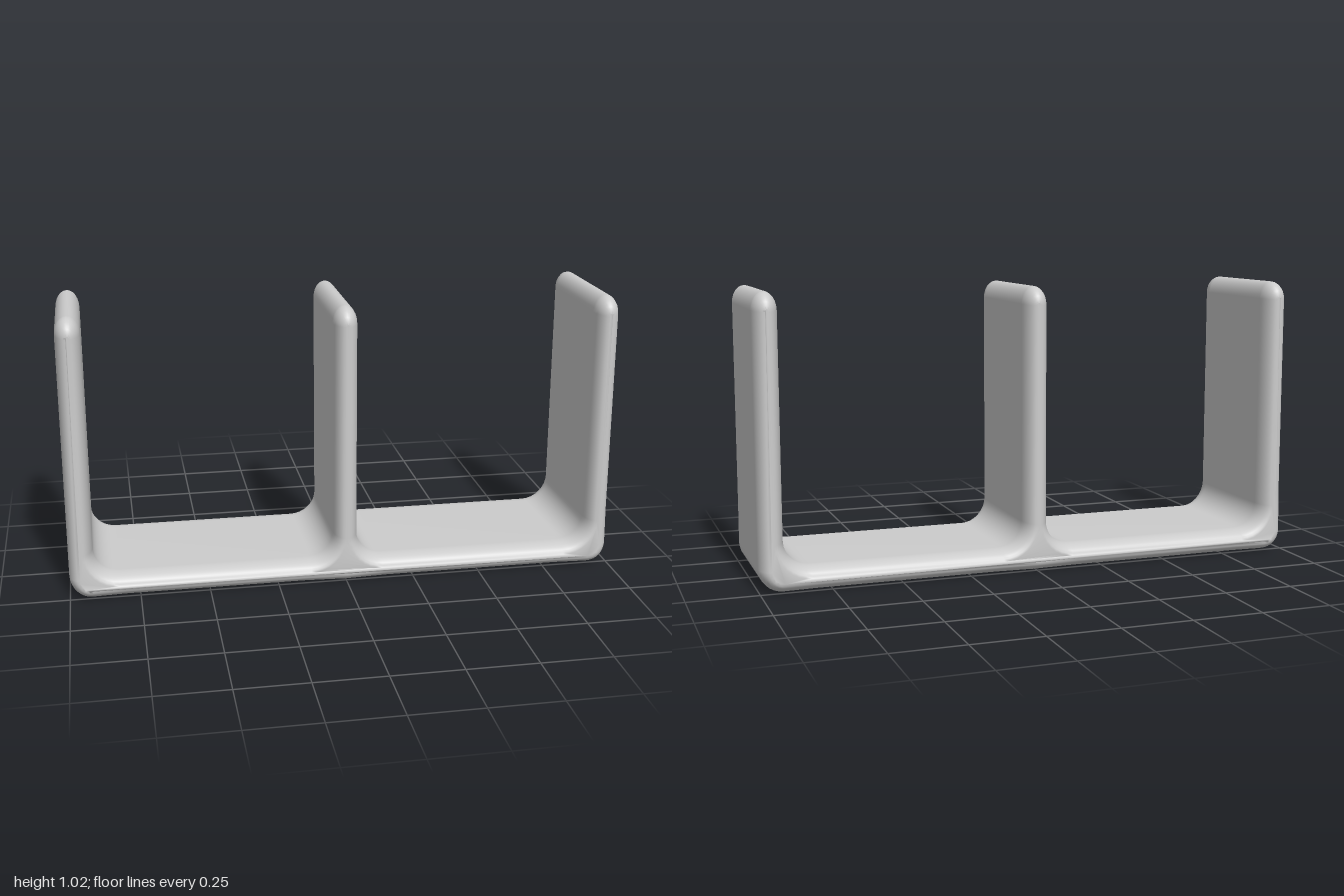
import * as THREE from 'three';
import { mergeVertices } from 'three/addons/utils/BufferGeometryUtils.js';

const HALF = 0.0435;    // half thickness of a wall
const FLOOR = 0.09;     // top of the base plate
const BOTTOM = 0.004;   // underside of the base plate
const FILLET = 0.09;    // inner corner radius
const TIP = 0.965;      // height where a wall starts to round over
const WALLS = [1 - HALF, 0, HALF - 1];

// Outline of the three-walled holder, running counter-clockwise
function outline() {
  const pts = [];
  const add = (x, y) => pts.push(new THREE.Vector2(x, y));
  const arc = (cx, cy, r, a0, a1, n = 8) => {
    for (let i = 0; i <= n; i++) {
      const a = (a0 + (a1 - a0) * i / n) * Math.PI;
      add(cx + r * Math.cos(a), cy + r * Math.sin(a));
    }
  };
  // underside, with extra points near the joints
  for (const x of [-0.8, -0.15, 0, 0.15, 0.8]) add(x, BOTTOM);
  arc(0.92, BOTTOM + 0.08, 0.08, -0.5, 0);
  add(1, 0.22);
  // walls from right to left, with filleted compartments between them
  WALLS.forEach((x, i) => {
    if (i > 0) arc(x + HALF + FILLET, FLOOR + FILLET, FILLET, -0.5, -1);
    arc(x, TIP, HALF, 0, 1, 12);
    if (i < 2) arc(x - HALF - FILLET, FLOOR + FILLET, FILLET, 0, -0.5);
  });
  add(-1, 0.22);
  arc(-0.92, BOTTOM + 0.08, 0.08, 1, 1.5);
  return new THREE.Shape(pts);
}

function holderGeometry() {
  const depth = 0.40;
  let geo = new THREE.ExtrudeGeometry(outline(), {
    depth, steps: 1, bevelEnabled: true, bevelSegments: 7,
    bevelThickness: 0.07, bevelSize: 0.038, bevelOffset: -0.038,
  });
  geo.translate(0, 0, -depth / 2);

  // Stretch the wall tips and flare the joints slightly in depth
  const p = geo.attributes.position;
  for (let i = 0; i < p.count; i++) {
    const x = p.getX(i), y = p.getY(i);
    if (y > TIP) p.setY(i, TIP + (y - TIP) * 1.47);
    const dx = Math.min(...WALLS.map((w) => Math.abs(x - w)));
    const near = Math.max(0, 1 - y / 0.22) * Math.max(0, 1 - dx / 0.18);
    p.setZ(i, p.getZ(i) * (1 + 0.045 * near));
  }

  // Weld for smooth normals
  geo.deleteAttribute('normal');
  geo.deleteAttribute('uv');
  geo.clearGroups();
  geo = mergeVertices(geo, 1e-5);
  geo.computeVertexNormals();
  return geo;
}

export function createModel() {
  const group = new THREE.Group();
  group.name = 'dividedHolder';
  const grey = new THREE.MeshStandardMaterial({ color: 0xcccccc });
  grey.name = 'light grey';
  const body = new THREE.Mesh(holderGeometry(), grey);
  body.name = 'baseAndWalls';
  group.add(body);
  return group;
}
